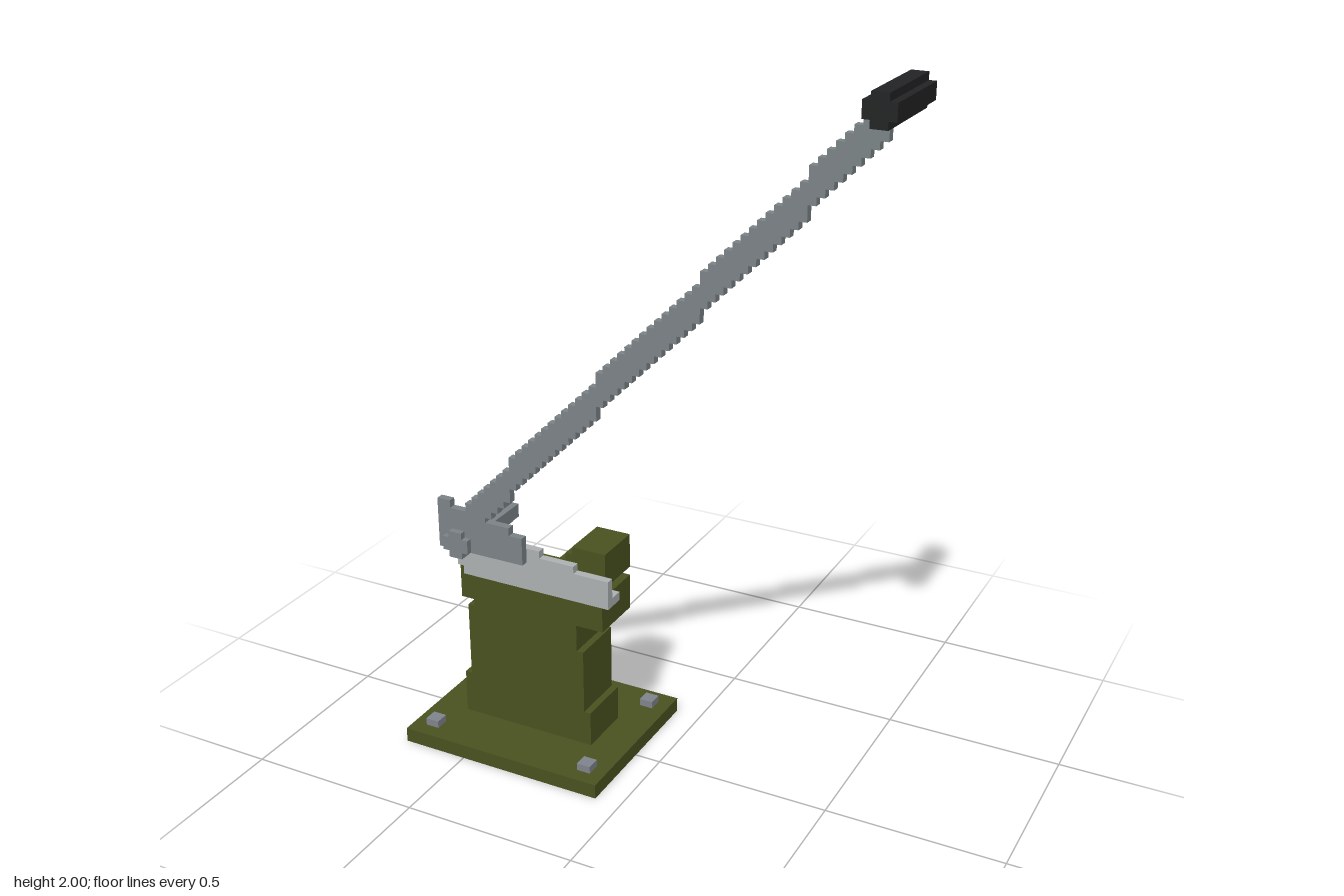
import * as THREE from 'three';

const mat = (name, color) => {
  const m = new THREE.MeshStandardMaterial({ color });
  m.name = name;
  return m;
};

export function createModel() {
  const group = new THREE.Group();
  const olive = mat('olive paint', 0x4a5220);
  const slate = mat('slate steel', 0x7c8487);
  const light = mat('light steel', 0xaeb2b3);
  const boltGrey = mat('bolt grey', 0x80848c);
  const black = mat('black rubber', 0x222324);

  const add = (name, geometry, material) => {
    const mesh = new THREE.Mesh(geometry, material);
    mesh.name = name;
    group.add(mesh);
    return mesh;
  };
  // Box given by its limits
  const box = (name, material, x0, x1, y0, y1, z0, z1) =>
    add(name, new THREE.BoxGeometry(x1 - x0, y1 - y0, z1 - z0), material)
      .position.set((x0 + x1) / 2, (y0 + y1) / 2, (z0 + z1) / 2);
  // Side profile extruded from z0 to z1
  const slab = (name, material, points, z0, z1) => {
    const shape = new THREE.Shape(points.map(([x, y]) => new THREE.Vector2(x, y)));
    const geometry = new THREE.ExtrudeGeometry(shape, { depth: z1 - z0, bevelEnabled: false });
    add(name, geometry, material).position.z = z0;
  };
  // Plus-shaped bar along z
  const crossBar = (name, material, cx, cy, r, a, z0, z1) => slab(name, material, [
    [-a, -r], [a, -r], [a, -a], [r, -a], [r, a], [a, a],
    [a, r], [-a, r], [-a, a], [-r, a], [-r, -a], [-a, -a],
  ].map(([x, y]) => [cx + x, cy + y]), z0, z1);

  // Base plate with four bolts
  box('basePlate', olive, -0.69, -0.075, 0, 0.042, -0.26, 0.235);
  for (const x of [-0.63, -0.135]) {
    for (const z of [-0.197, 0.173]) {
      box('bolt', boltGrey, x - 0.02, x + 0.02, 0.042, 0.063, z - 0.02, z + 0.02);
    }
  }

  // Stepped pedestal with overhanging head
  slab('pedestal', olive, [
    [-0.59, 0.042], [-0.18, 0.042], [-0.18, 0.145], [-0.2, 0.145], [-0.2, 0.335],
    [-0.22, 0.335], [-0.22, 0.415], [-0.138, 0.415], [-0.138, 0.517], [-0.59, 0.517],
    [-0.59, 0.415], [-0.55, 0.415], [-0.55, 0.394], [-0.57, 0.394], [-0.57, 0.17], [-0.59, 0.17],
  ], -0.09, 0.07);

  // Stock guide on a thin stem
  box('guideStem', olive, -0.26, -0.18, 0.517, 0.542, -0.03, -0.01);
  slab('stockGuide', olive, [
    [-0.3, 0.542], [-0.138, 0.542], [-0.138, 0.642], [-0.24, 0.642], [-0.24, 0.621],
    [-0.26, 0.621], [-0.26, 0.6], [-0.28, 0.6], [-0.28, 0.562], [-0.3, 0.562],
  ], -0.09, 0.05);

  // Lower blade: flange and stepped upright
  box('bladeFlange', light, -0.55, -0.095, 0.517, 0.542, 0.05, 0.092);
  slab('lowerBlade', light, [
    [-0.55, 0.517], [-0.095, 0.517], [-0.095, 0.6], [-0.2, 0.6], [-0.2, 0.621],
    [-0.305, 0.621], [-0.305, 0.642], [-0.405, 0.642], [-0.405, 0.68],
    [-0.568, 0.68], [-0.568, 0.542], [-0.55, 0.542],
  ], 0.09, 0.113);

  // Upper blade and pivot
  slab('upperBlade', slate, [
    [-0.61, 0.6], [-0.345, 0.6], [-0.345, 0.68], [-0.385, 0.68], [-0.385, 0.703],
    [-0.465, 0.703], [-0.465, 0.723], [-0.57, 0.723], [-0.57, 0.745], [-0.61, 0.745],
  ], 0.113, 0.135);
  crossBar('pivot', slate, -0.547, 0.623, 0.039, 0.02, -0.113, 0.153);

  // Lever arm with a staircase outline
  const step = 0.0205, count = 56, x0 = -0.52;
  const top = [], bottom = [];
  for (let i = 0; i < count; i++) {
    const xa = x0 + i * step, xb = xa + step;
    const centre = 1.25 + 1.075 * (xa + step / 2);
    const low = Math.round((centre - 0.046) / step) * step;
    const high = low + 0.0925;
    bottom.push([xa, low], [xb, low]);
    top.push([xa, high], [xb, high]);
  }
  slab('lever', slate, [...bottom, ...top.reverse()], 0.113, 0.135);

  // Grip
  crossBar('grip', black, 0.646, 1.96, 0.04, 0.021, 0.01, 0.255);

  return group;
}
